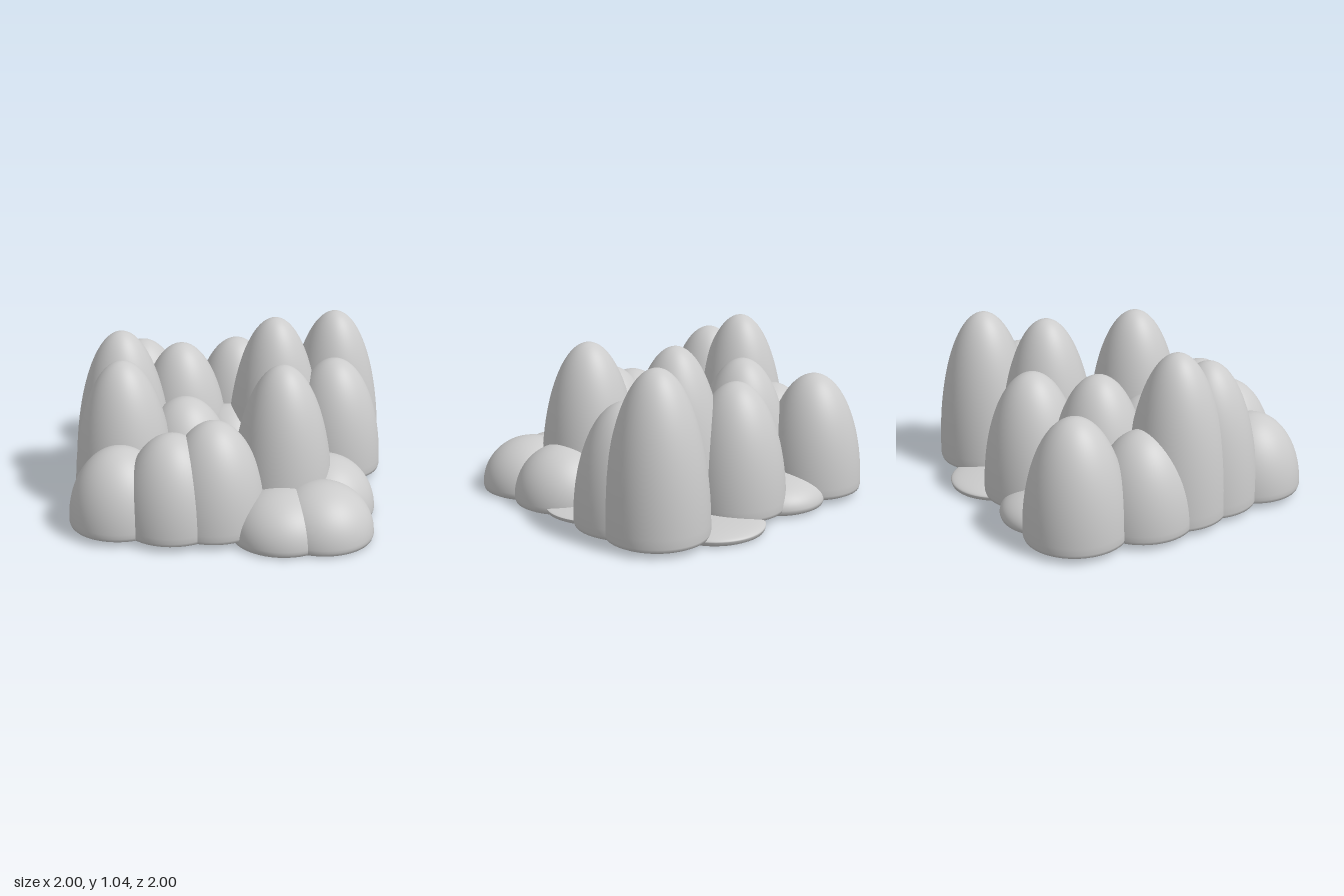
import * as THREE from 'three';

const RADIUS = 0.312;

// Half-ellipsoid mound with a slightly tucked-in, flat closed base.
function domeGeometry(height, base) {
  const rim = base + 0.03;
  const points = [
    new THREE.Vector2(0, base),
    new THREE.Vector2(RADIUS - 0.025, base),
    new THREE.Vector2(RADIUS - 0.025, base),
    new THREE.Vector2(RADIUS - 0.006, base + 0.01),
  ];
  const steps = 28;
  for (let i = 0; i <= steps; i++) {
    const a = (i / steps) * Math.PI / 2;
    points.push(new THREE.Vector2(
      i === steps ? 0 : RADIUS * Math.cos(a),
      rim + (height - rim) * Math.sin(a),
    ));
  }
  return new THREE.LatheGeometry(points, 56);
}

// Five rows from back to front: each mound is [x, z, height, base height].
const ROWS = [
  [[-0.61, -0.69, 0.77, 0.03], [-0.275, -0.66, 0.2, 0.01], [0.03, -0.6, 0.82, 0.03],
    [0.325, -0.69, 0.08, 0], [0.685, -0.58, 1.02, 0.03]],
  [[-0.69, -0.28, 0.62, 0.03], [-0.32, -0.345, 0.86, 0.03], [0.0, -0.3, 0.45, 0.03],
    [0.29, -0.345, 1.04, 0.03], [0.68, -0.32, 0.775, 0.03]],
  [[-0.67, -0.02, 1.04, 0.03], [-0.27, 0.05, 0.63, 0.03], [0.0, 0.0, 0.2, 0.01],
    [0.29, 0.0, 0.22, 0.01], [0.6, 0.03, 0.06, 0.01]],
  [[-0.64, 0.23, 0.93, 0.03], [-0.36, 0.32, 0.2, 0.01], [0.03, 0.3, 0.2, 0.01],
    [0.34, 0.36, 0.96, 0.03], [0.605, 0.315, 0.36, 0]],
  [[-0.63, 0.585, 0.51, 0.03], [-0.31, 0.635, 0.62, 0.03], [-0.065, 0.6, 0.69, 0.03],
    [0.345, 0.685, 0.3, 0], [0.58, 0.66, 0.33, 0]],
];

export function createModel() {
  const model = new THREE.Group();
  model.name = 'moundCluster';
  const material = new THREE.MeshStandardMaterial({ color: 0xcccccc });

  ROWS.forEach((row, r) => {
    const group = new THREE.Group();
    group.name = `moundRow${r + 1}`;
    row.forEach(([x, z, height, base], c) => {
      const mound = new THREE.Mesh(domeGeometry(height, base), material);
      mound.name = `mound${c + 1}`;
      mound.position.set(x, 0, z);
      group.add(mound);
    });
    model.add(group);
  });
  return model;
}
